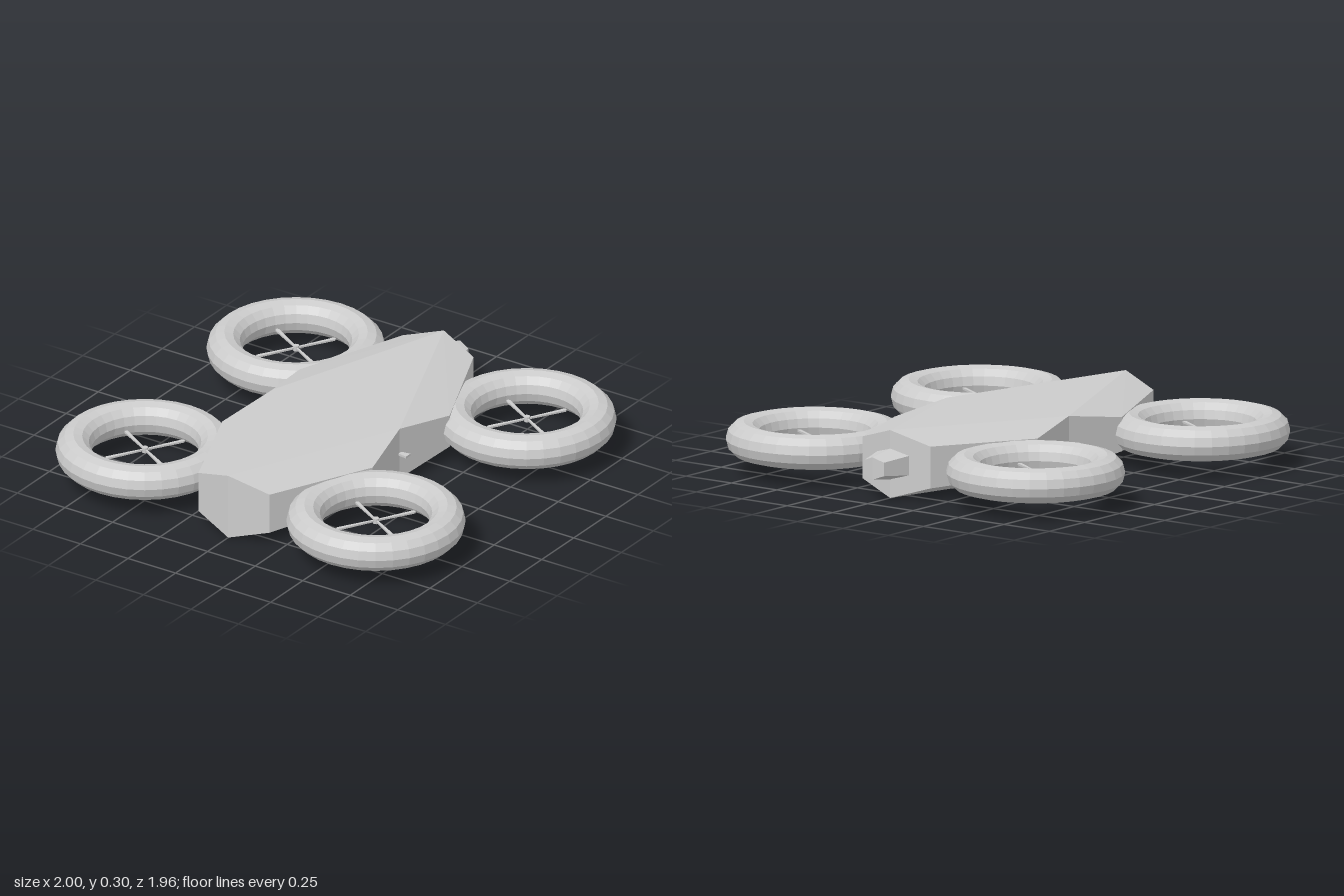
import * as THREE from 'three';

const MID = 0.151; // height of the horizontal symmetry plane
const grey = new THREE.MeshStandardMaterial({ color: 0xcccccc, flatShading: true });

function addMesh(parent, name, geometry) {
  const mesh = new THREE.Mesh(geometry, grey);
  mesh.name = name;
  parent.add(mesh);
  return mesh;
}

// Emits a triangle, mirrored by the signs, with its winding kept outward
function pushTri(out, tri, sx, sy, sz) {
  const order = sx * sy * sz > 0 ? [0, 1, 2] : [0, 2, 1];
  for (const i of order) out.push(tri[i][0] * sx, tri[i][1] * sy, tri[i][2] * sz);
}

// One octant of the hull, mirrored eight ways
function hullGeometry() {
  const nose = [0, 0.151, 0.84], noseMid = [0, 0, 0.84];
  const corner = [0.187, 0.093, 0.795], cornerMid = [0.187, 0, 0.795];
  const shoulder = [0.395, 0.076, 0.3], shoulderMid = [0.395, 0, 0.3];
  const waist = [0.335, 0.121, 0], waistMid = [0.335, 0, 0];
  const ridge = [0, 0.151, 0];
  const tris = [
    [ridge, nose, waist], [waist, nose, shoulder], [shoulder, nose, corner],
    [nose, noseMid, cornerMid], [nose, cornerMid, corner],
    [corner, cornerMid, shoulderMid], [corner, shoulderMid, shoulder],
    [shoulder, shoulderMid, waistMid], [shoulder, waistMid, waist],
  ];
  const out = [];
  for (const sx of [1, -1]) for (const sy of [1, -1]) for (const sz of [1, -1]) {
    for (const tri of tris) pushTri(out, tri, sx, sy, sz);
  }
  const geo = new THREE.BufferGeometry();
  geo.setAttribute('position', new THREE.Float32BufferAttribute(out, 3));
  geo.computeVertexNormals();
  return geo;
}

// Tapered six-sided tail, narrowing towards the back
function tailGeometry() {
  const section = (w, h, side, zMid, zSide) => [
    [0, h, zMid], [w, side, zSide], [w, -side, zSide],
    [0, -h, zMid], [-w, -side, zSide], [-w, side, zSide],
  ];
  const base = section(0.092, 0.075, 0.045, -0.8, -0.8);
  const tip = section(0.053, 0.05, 0.03, -0.965, -0.953);
  const out = [];
  for (let i = 0; i < 6; i++) {
    const j = (i + 1) % 6;
    out.push(...base[i], ...base[j], ...tip[j], ...base[i], ...tip[j], ...tip[i]);
  }
  // End cap, split along the vertical crease
  for (const [a, b, c] of [[0, 1, 2], [0, 2, 3], [0, 3, 4], [0, 4, 5]]) {
    out.push(...tip[a], ...tip[b], ...tip[c]);
  }
  const geo = new THREE.BufferGeometry();
  geo.setAttribute('position', new THREE.Float32BufferAttribute(out, 3));
  geo.computeVertexNormals();
  return geo;
}

// Thin blade that widens towards a rounded tip
function bladeGeometry() {
  const s = new THREE.Shape();
  s.moveTo(0, -0.004);
  s.lineTo(0.185, -0.009);
  s.quadraticCurveTo(0.2, 0, 0.185, 0.009);
  s.lineTo(0, 0.004);
  const geo = new THREE.ExtrudeGeometry(s, { depth: 0.008, bevelEnabled: false, curveSegments: 4 });
  return geo.translate(0, 0, -0.004).rotateX(-Math.PI / 2);
}

// Ducted fan: round ring, hub and four blades
function makeFan() {
  const fan = new THREE.Group();
  addMesh(fan, 'ductRing', new THREE.TorusGeometry(0.313, 0.078, 12, 32).rotateX(Math.PI / 2));
  addMesh(fan, 'hub', new THREE.CylinderGeometry(0.014, 0.014, 0.024, 10));
  const blade = bladeGeometry();
  for (let i = 0; i < 4; i++) {
    addMesh(fan, 'blade', blade).rotation.y = Math.PI / 3 + i * Math.PI / 2;
  }
  return fan;
}

export function createModel() {
  const model = new THREE.Group();
  model.name = 'quadRotorCraft';

  addMesh(model, 'hull', hullGeometry()).position.y = MID;
  addMesh(model, 'tail', tailGeometry()).position.y = MID;

  for (const sx of [1, -1]) {
    const side = sx > 0 ? 'left' : 'right';
    for (const sz of [1, -1]) {
      const fan = makeFan();
      fan.name = side + (sz > 0 ? 'FrontFan' : 'BackFan');
      fan.position.set(sx * 0.607, MID, sz * 0.588);
      model.add(fan);
    }
    // Small flared stub on the waist
    const stub = new THREE.BoxGeometry(0.06, 0.01, 0.034);
    const p = stub.attributes.position;
    for (let i = 0; i < p.count; i++) {
      if (p.getX(i) * sx < 0) p.setZ(i, p.getZ(i) * 0.5);
    }
    addMesh(model, side + 'Stub', stub).position.set(sx * 0.35, MID, 0);
  }
  return model;
}
